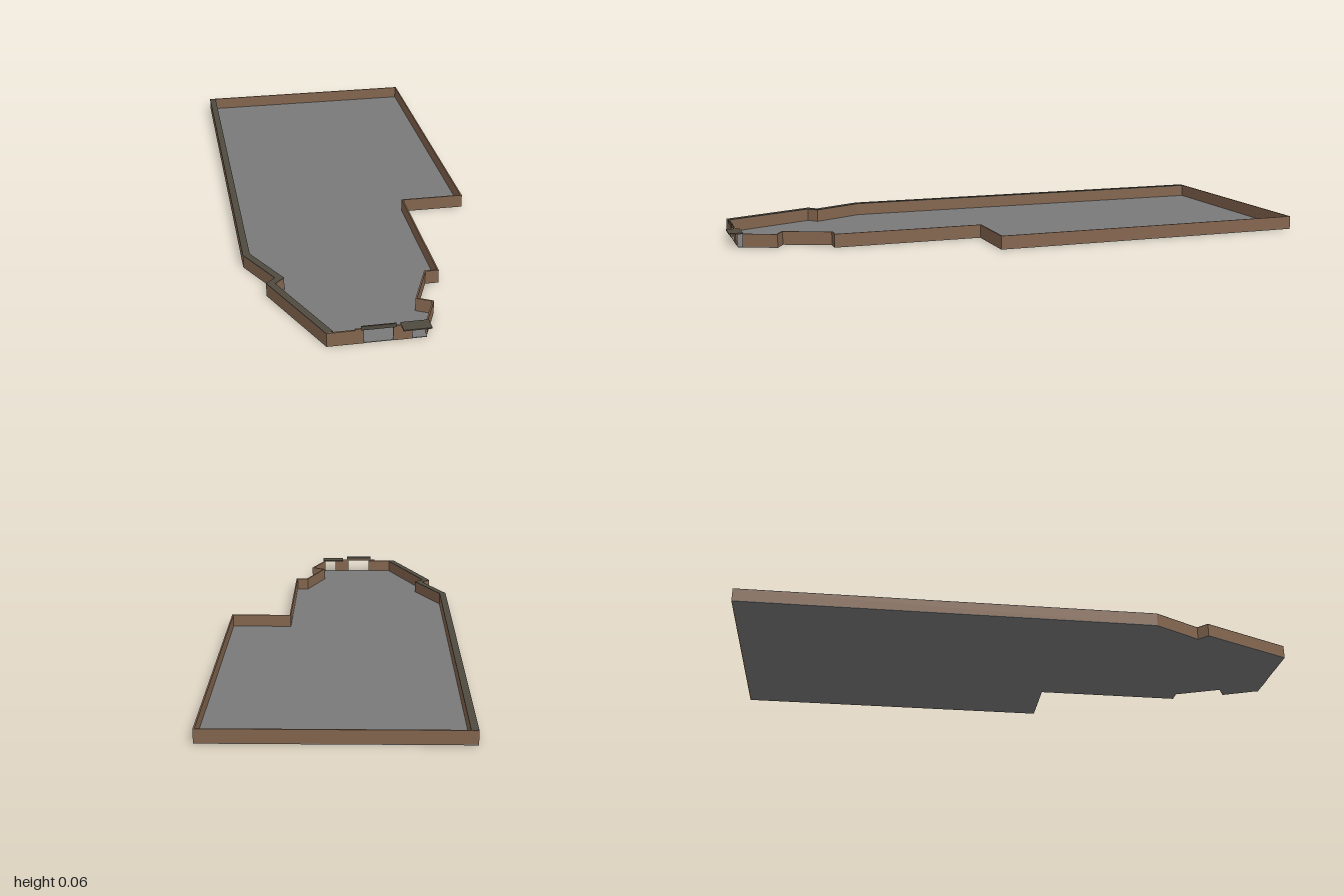
import * as THREE from 'three';

const H = 0.047; // wall height

function material(name, color) {
  const m = new THREE.MeshStandardMaterial({ color });
  m.name = name;
  return m;
}

// Flat polygon of [x, z] points raised from y0 to y1
function slab(points, y0, y1) {
  const shape = new THREE.Shape(points.map(([x, z]) => new THREE.Vector2(x, -z)));
  const geo = new THREE.ExtrudeGeometry(shape, { depth: y1 - y0, bevelEnabled: false });
  return geo.rotateX(-Math.PI / 2).translate(0, y0, 0);
}

// Offset an open path inward with mitred corners
function inset(path, width) {
  const normals = path.slice(1).map(([x, z], i) => {
    const dx = x - path[i][0], dz = z - path[i][1], l = Math.hypot(dx, dz);
    return [-dz / l, dx / l];
  });
  return path.map(([x, z], i) => {
    const a = normals[Math.max(i - 1, 0)], b = normals[Math.min(i, normals.length - 1)];
    const k = width / (1 + a[0] * b[0] + a[1] * b[1]);
    return [x + (a[0] + b[0]) * k, z + (a[1] + b[1]) * k];
  });
}

// Strip of constant width following a path
const band = (path, width, y0, y1) => slab([...path, ...inset(path, width).reverse()], y0, y1);

function box(x0, x1, y0, y1, z0, z1) {
  return new THREE.BoxGeometry(x1 - x0, y1 - y0, z1 - z0)
    .translate((x0 + x1) / 2, (y0 + y1) / 2, (z0 + z1) / 2);
}

export function createModel() {
  const group = new THREE.Group();
  const floorGrey = material('floor grey', 0x7a7a7a);
  const brown = material('wall brown', 0x84664f);
  const dark = material('dark trim', 0x504a40);
  const add = (name, geo, mat) => {
    const mesh = new THREE.Mesh(geo, mat);
    mesh.name = name;
    group.add(mesh);
  };

  // Ground outline: the long thick side, then the back and the stepped side
  const thickSide = [[-0.225, 0.97], [-0.367, 0.645], [-0.335, 0.615], [-0.422, 0.447], [-0.422, -1]];
  const thinSide = [[-0.422, -1], [0.422, -1], [0.422, 0.135], [0.2, 0.135], [0.2, 0.66],
    [0.155, 0.66], [0.09, 0.818], [0.138, 0.843], [0.09, 0.955]];

  add('floor', slab([...thickSide, ...thinSide.slice(1), [0.085, 0.97]], 0, 0.002), floorGrey);

  // Perimeter walls
  add('thickWall', band(thickSide, 0.024, 0.002, H - 0.003), brown);
  add('thickWallCap', band(thickSide, 0.024, H - 0.003, H), dark);
  add('thinWall', band(thinSide, 0.005, 0, H), brown);

  // Front wall pieces between the two openings
  for (const [x0, x1] of [[-0.225, -0.11], [-0.02, 0.04]]) {
    add('frontWall', box(x0, x1, 0, H, 0.965, 0.971), brown);
  }

  // Gate beam with a raised board
  add('gateLintel', box(-0.138, 0.005, H, 0.052, 0.967, 0.972), brown);
  add('gateBoard', box(-0.12, -0.012, 0.05, 0.063, 0.972, 0.977), dark);

  // Canopy over the side doorway
  add('canopy', box(0.005, 0.094, H, 0.049, 0.953, 1), brown);
  add('canopyTop', box(0.005, 0.094, 0.049, 0.051, 0.953, 1), dark);
  return group;
}
